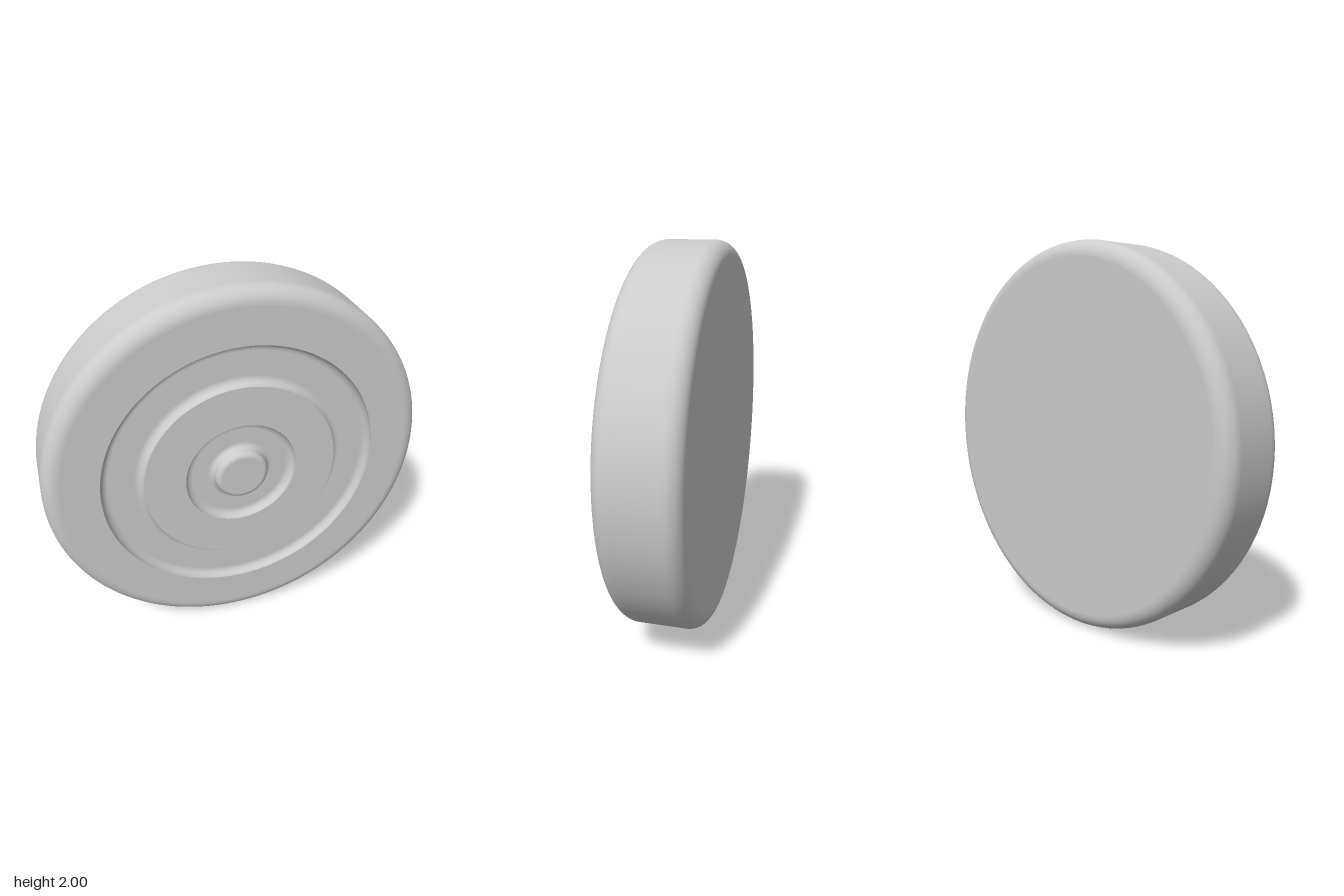
import * as THREE from 'three';

const BACK = -0.21, FACE = 0.19, COVE = 0.04, FLOOR = FACE - COVE;

// Points of a circular arc (radius, depth) between two angles in degrees
function arc(cx, cy, r, a0, a1, steps = 10) {
  return Array.from({ length: steps + 1 }, (_, i) => {
    const a = THREE.MathUtils.degToRad(a0 + ((a1 - a0) * i) / steps);
    return new THREE.Vector2(cx + r * Math.cos(a), cy + r * Math.sin(a));
  });
}

const line = (x0, y0, x1, y1) => [new THREE.Vector2(x0, y0), new THREE.Vector2(x1, y1)];

export function createModel() {
  const group = new THREE.Group();
  const material = new THREE.MeshStandardMaterial({ color: 0xcccccc });

  // Turned part: each segment keeps its own end normals, so edges stay crisp
  function turned(name, ...segments) {
    const geometry = new THREE.LatheGeometry(segments.flat(), 128);
    geometry.rotateX(Math.PI / 2);
    const mesh = new THREE.Mesh(geometry, material);
    mesh.name = name;
    mesh.position.y = 1;
    group.add(mesh);
  }

  // Flat back, rounded rim and wide front border
  const R = 0.08;
  turned('body',
    line(0, BACK, 1 - R, BACK),
    arc(1 - R, BACK + R, R, -90, 0),
    line(1, BACK + R, 1, FACE - R),
    arc(1 - R, FACE - R, R, 0, 90),
    line(1 - R, FACE, 0.725, FACE));

  // Ring groove with coved walls on both sides
  turned('ringGroove',
    arc(0.725 - COVE, FACE, COVE, 0, -90),
    line(0.725 - COVE, FLOOR, 0.51 + COVE, FLOOR),
    arc(0.51 + COVE, FACE, COVE, -90, -180));

  // Raised flat ring
  turned('raisedRing', line(0.51, FACE, 0.295, FACE));

  // Central recess
  turned('centreRecess',
    arc(0.295 - COVE, FACE, COVE, 0, -90),
    line(0.295 - COVE, FLOOR, 0.17, FLOOR));

  // Button with a filleted foot and rounded top edge
  turned('centreButton',
    arc(0.17, FLOOR + 0.03, 0.03, -90, -180),
    arc(0.11, 0.18, 0.03, 0, 90),
    line(0.11, 0.21, 0, 0.21));

  return group;
}
